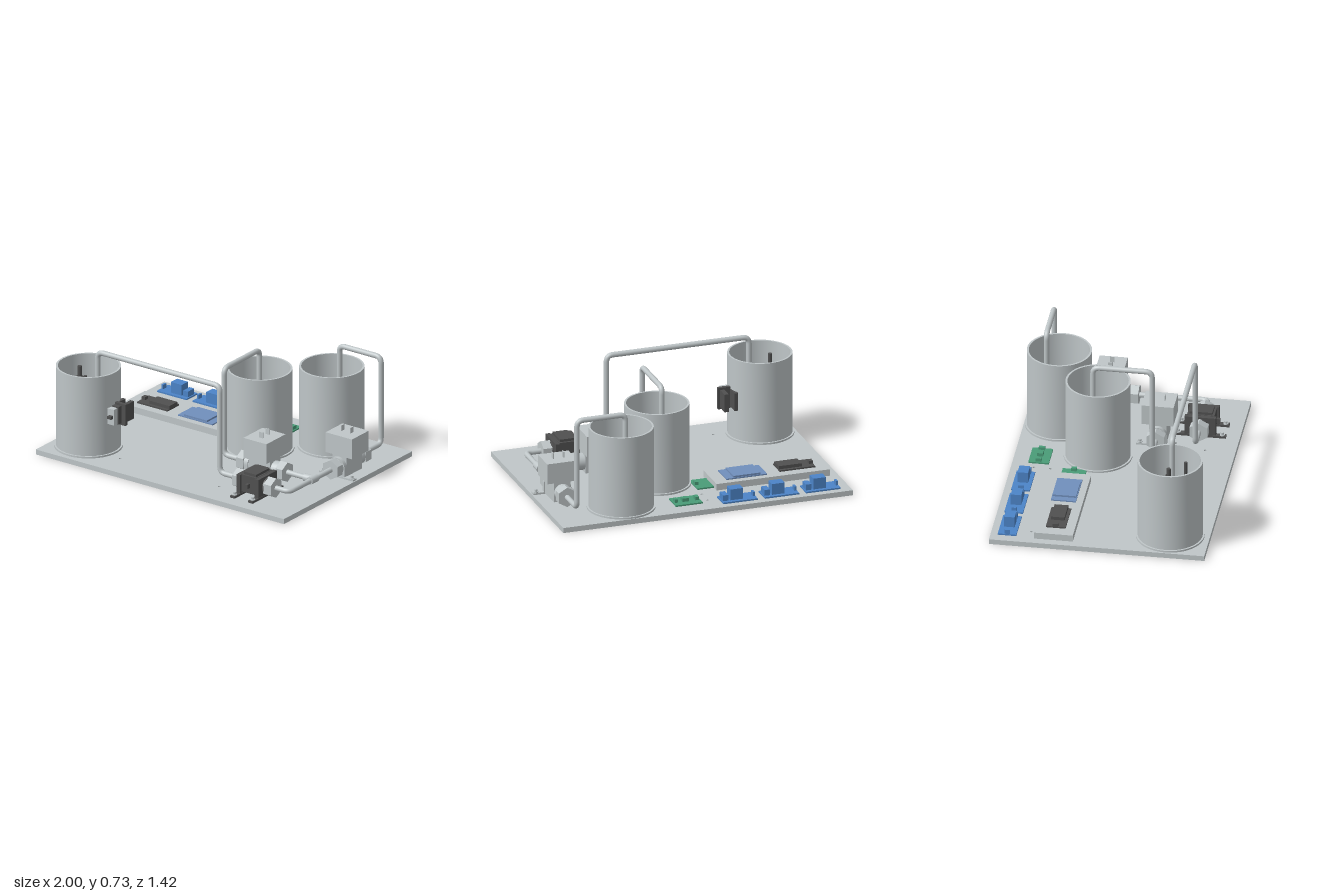
import * as THREE from 'three';
import { toCreasedNormals } from 'three/addons/utils/BufferGeometryUtils.js';

const makeMaterial = (name, color, side = THREE.FrontSide) => {
  const m = new THREE.MeshStandardMaterial({ color, side });
  m.name = name;
  return m;
};

export function createModel() {
  const model = new THREE.Group();
  model.name = 'waterMixingRig';
  const metal = makeMaterial('lightGreyMetal', 0xbfc6c8, THREE.DoubleSide);
  const dark = makeMaterial('darkPlastic', 0x505050);
  const blue = makeMaterial('blueBoard', 0x4c84c8);
  const screenBlue = makeMaterial('paleBlueScreen', 0x708fbc);
  const green = makeMaterial('greenBoard', 0x4a9c78);

  const add = (parent, name, geometry, material, x = 0, y = 0, z = 0) => {
    const mesh = new THREE.Mesh(geometry, material);
    mesh.name = name;
    mesh.position.set(x, y, z);
    parent.add(mesh);
    return mesh;
  };
  // Box given by its limits on each axis
  const box = (parent, name, material, x0, x1, y0, y1, z0, z1) =>
    add(parent, name, new THREE.BoxGeometry(x1 - x0, y1 - y0, z1 - z0), material,
      (x0 + x1) / 2, (y0 + y1) / 2, (z0 + z1) / 2);
  // Cylinder lying along x
  const rod = (parent, name, material, r, x0, x1, y, z) =>
    add(parent, name, new THREE.CylinderGeometry(r, r, x1 - x0, 28).rotateZ(Math.PI / 2),
      material, (x0 + x1) / 2, y, z);
  // Hexagonal nut along x, with a corner pointing up
  const nut = (parent, x0, x1, y, z) => {
    const g = new THREE.CylinderGeometry(0.068, 0.068, x1 - x0, 6, 1, false, Math.PI / 2)
      .rotateZ(Math.PI / 2).toNonIndexed();
    g.computeVertexNormals();
    return add(parent, 'hexNut', g, metal, (x0 + x1) / 2, y, z);
  };
  const bolt = (parent, x, y, z) => {
    add(parent, 'washer', new THREE.CylinderGeometry(0.017, 0.017, 0.006, 16), metal, x, y + 0.003, z);
    add(parent, 'bolt', new THREE.CylinderGeometry(0.011, 0.011, 0.018, 6), metal, x, y + 0.012, z);
  };

  // Base plate with drilled holes
  const plate = new THREE.Shape([[-1, -0.71], [1, -0.71], [1, 0.71], [-1, 0.71]]
    .map(([x, y]) => new THREE.Vector2(x, y)));
  for (const [x, z] of [[-0.86, -0.45], [-0.05, -0.56], [-0.05, -0.45], [-0.465, 0.51], [0.335, 0.51]]) {
    plate.holes.push(new THREE.Path().absarc(x, -z, 0.009, 0, Math.PI * 2, true));
  }
  add(model, 'basePlate', new THREE.ExtrudeGeometry(plate, { depth: 0.035, bevelEnabled: false })
    .rotateX(-Math.PI / 2), metal);

  // Open tanks with a foot ring
  const wall = [[0.225, 0.035], [0.225, 0.047], [0.213, 0.047], [0.213, 0.6],
    [0.2, 0.6], [0.2, 0.042], [0, 0.042]].map(([r, y]) => new THREE.Vector2(r, y));
  const tankGeometry = toCreasedNormals(new THREE.LatheGeometry(wall, 64), 0.6);
  for (const [x, z] of [[-0.765, 0.45], [0.165, -0.17], [0.52, -0.48]]) {
    add(model, 'tank', tankGeometry, metal, x, 0, z);
  }

  // Pipes with rounded elbows
  const pipe = (name, corners) => {
    const p = corners.map((c) => new THREE.Vector3(...c));
    const path = new THREE.CurvePath();
    let from = p[0];
    for (let i = 1; i < p.length - 1; i++) {
      const a = p[i].clone().add(p[i - 1].clone().sub(p[i]).setLength(0.045));
      const b = p[i].clone().add(p[i + 1].clone().sub(p[i]).setLength(0.045));
      path.add(new THREE.LineCurve3(from, a));
      path.add(new THREE.QuadraticBezierCurve3(a, p[i], b));
      from = b;
    }
    path.add(new THREE.LineCurve3(from, p[p.length - 1]));
    add(model, name, new THREE.TubeGeometry(path, 180, 0.018, 16), metal);
  };
  const Y = 0.105, top = 0.714;
  pipe('pumpInletPipe', [[-0.69, 0.35, 0.45], [-0.69, top, 0.45], [0.295, top, 0.45], [0.295, Y, 0.45], [0.46, Y, 0.45]]);
  pipe('middleTankPipe', [[0.14, 0.35, -0.2], [0.14, top, -0.2], [0.14, top, 0.19], [0.14, Y, 0.19], [0.3, Y, 0.19]]);
  pipe('backTankPipe', [[0.52, 0.35, -0.565], [0.52, top, -0.565], [0.855, top, -0.565], [0.855, Y, -0.565], [0.855, Y, -0.36]]);
  pipe('pumpOutletPipe', [[0.73, Y, 0.45], [0.855, Y, 0.45], [0.855, Y, -0.02]]);
  pipe('branchPipe', [[0.64, Y, 0.19], [0.855, Y, 0.19]]);

  // Tee joint
  rod(model, 'teeBranch', metal, 0.026, 0.79, 0.855, Y, 0.19);
  add(model, 'teeRun', new THREE.CylinderGeometry(0.026, 0.026, 0.075, 28).rotateX(Math.PI / 2), metal, 0.855, Y, 0.19);

  // Solenoid valves, flow along local x
  const valve = (x, z, turn) => {
    const g = new THREE.Group();
    g.name = 'solenoidValve';
    g.position.set(x, Y, z);
    g.rotation.y = turn;
    model.add(g);
    box(g, 'coilHousing', metal, -0.093, 0.093, 0.07, 0.21, -0.106, 0.106);
    box(g, 'valveBody', metal, -0.085, 0.085, -0.065, 0.07, -0.058, 0.058);
    for (const s of [-1, 1]) {
      rod(g, 'collar', metal, 0.056, s * 0.107 - 0.023, s * 0.107 + 0.023, 0, 0);
      nut(g, s * 0.158 - 0.028, s * 0.158 + 0.028, 0, 0);
      box(g, 'terminalPin', metal, -0.015, 0.015, 0.21, 0.25, s * 0.036 - 0.003, s * 0.036 + 0.003);
      bolt(g, -0.105, -0.058, s * 0.115);
    }
    box(g, 'mountingStrip', metal, -0.123, -0.087, -0.07, -0.058, -0.138, 0.138);
    box(g, 'saddle', metal, -0.118, -0.092, -0.06, 0, -0.064, 0.064);
    rod(g, 'clampRing', metal, 0.064, -0.118, -0.092, 0, 0);
  };
  valve(0.465, 0.19, 0);
  valve(0.855, -0.19, Math.PI / 2);

  // Pump
  const pump = new THREE.Group();
  pump.name = 'pump';
  pump.position.set(0.592, 0, 0.45);
  model.add(pump);
  box(pump, 'pumpBody', dark, -0.06, 0.06, 0.06, 0.18, -0.09, 0.09);
  box(pump, 'pumpTop', dark, -0.05, 0.05, 0.17, 0.197, -0.075, 0.075);
  rod(pump, 'pumpBarrel', dark, 0.062, -0.098, 0.098, Y, 0);
  box(pump, 'pumpStem', dark, -0.01, 0.01, 0.1, 0.13, 0.08, 0.118);
  for (const s of [-1, 1]) {
    box(pump, 'endPlate', dark, s * 0.073 - 0.015, s * 0.073 + 0.015, 0.04, 0.178, -0.103, 0.103);
    box(pump, 'foot', dark, s * 0.073 - 0.018, s * 0.073 + 0.018, 0.035, 0.05, -0.17, 0.17);
    nut(pump, s * 0.126 - 0.031, s * 0.126 + 0.031, Y, 0);
    for (const t of [-1, 1]) bolt(pump, s * 0.073, 0.05, t * 0.145);
  }

  // Sensor clamped to the tank wall
  const sensor = new THREE.Group();
  sensor.name = 'levelSensor';
  model.add(sensor);
  box(sensor, 'sensorPlate', dark, -0.575, -0.468, 0.243, 0.392, 0.425, 0.45);
  box(sensor, 'sensorOuterWing', dark, -0.51, -0.482, 0.255, 0.378, 0.335, 0.425);
  box(sensor, 'sensorInnerWing', dark, -0.575, -0.55, 0.255, 0.378, 0.335, 0.425);
  box(sensor, 'sensorBlock', dark, -0.555, -0.5, 0.255, 0.378, 0.45, 0.48);
  box(sensor, 'sensorBracket', metal, -0.56, -0.51, 0.26, 0.37, 0.48, 0.52);
  box(sensor, 'sensorArm', dark, -0.545, -0.515, 0.307, 0.327, 0.48, 0.545);

  // Probe inside the first tank
  box(model, 'probeBase', metal, -0.875, -0.655, 0.042, 0.16, 0.395, 0.51);
  add(model, 'probeRod', new THREE.CylinderGeometry(0.014, 0.014, 0.42, 12), dark, -0.835, 0.37, 0.45);
  add(model, 'probeHead', new THREE.CylinderGeometry(0.028, 0.028, 0.03, 6), dark, -0.835, 0.49, 0.45);
  add(model, 'thinProbeRod', new THREE.CylinderGeometry(0.011, 0.011, 0.52, 12), dark, -0.72, 0.31, 0.545);

  // Electronics tray with controller and display
  box(model, 'tray', metal, -0.945, -0.16, 0.035, 0.08, -0.42, -0.165);
  box(model, 'controllerBoard', dark, -0.865, -0.62, 0.08, 0.09, -0.355, -0.225);
  box(model, 'controllerChip', dark, -0.78, -0.62, 0.09, 0.112, -0.335, -0.245);
  box(model, 'controllerPlug', dark, -0.865, -0.838, 0.09, 0.11, -0.31, -0.275);
  box(model, 'displayBoard', screenBlue, -0.525, -0.245, 0.08, 0.088, -0.375, -0.21);
  box(model, 'displayScreen', screenBlue, -0.48, -0.295, 0.088, 0.1, -0.37, -0.215);

  // Relay boards
  for (const x of [-0.933, -0.647, -0.36]) {
    box(model, 'relayBoard', blue, x, x + 0.238, 0.035, 0.045, -0.662, -0.54);
    box(model, 'relayBlock', blue, x + 0.092, x + 0.18, 0.045, 0.12, -0.635, -0.565);
    box(model, 'relayTerminal', blue, x + 0.192, x + 0.23, 0.045, 0.085, -0.635, -0.565);
    box(model, 'relayPins', blue, x + 0.003, x + 0.018, 0.045, 0.075, -0.617, -0.583);
  }

  // Small green sensor boards
  box(model, 'backSensorBoard', green, 0, 0.185, 0.035, 0.045, -0.605, -0.47);
  for (const [x0, x1] of [[0.01, 0.034], [0.078, 0.124], [0.154, 0.176]]) {
    box(model, 'boardPart', green, x0, x1, 0.045, 0.068, -0.56, -0.52);
  }
  box(model, 'traySensorBoard', green, -0.16, -0.046, 0.035, 0.045, -0.37, -0.213);
  box(model, 'boardPlug', green, -0.075, -0.05, 0.045, 0.066, -0.31, -0.275);

  return model;
}
